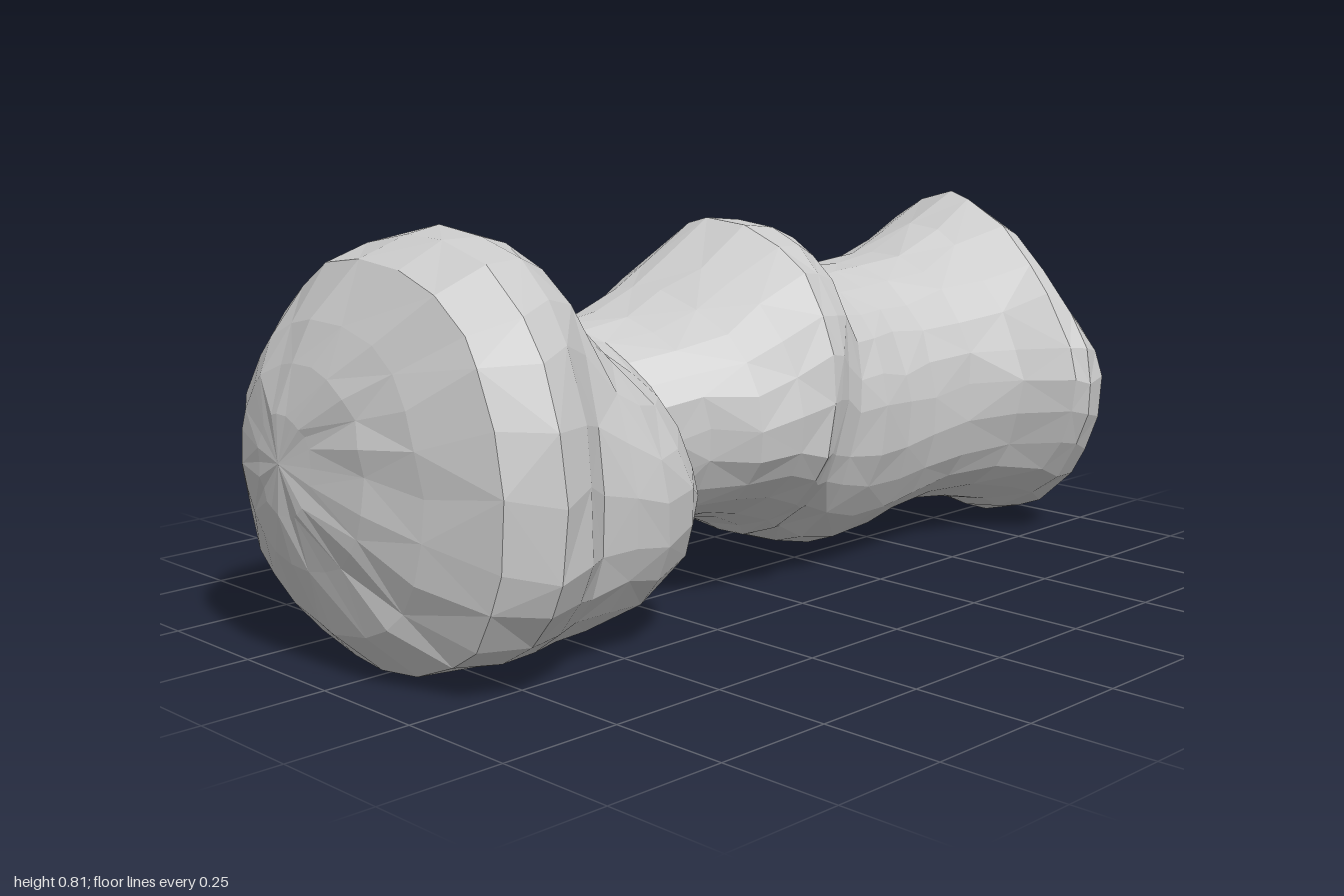
import * as THREE from 'three';

const SIDES = 24;

// Small seeded generator for the chipped, hand-hewn surface
function seeded(seed) {
  return () => {
    seed = (seed * 16807) % 2147483647;
    return seed / 2147483647 - 0.5;
  };
}

// Roundness of a part's four quarters: top front, top back, bottom back, bottom front
const part = (powers, stations) => stations.map((s) => ({ ...s, powers }));

// Lofts rounded cross-sections along x. Each section is four quarter
// curves around mid (y, z); a lean slants the whole section.
function loft(name, stations, startTip, endTip) {
  const rand = seeded(41);
  const points = [];
  for (const { x, y, z, mid, powers, lean = [0, 0] } of stations) {
    const reach = (t, centre, [low, high]) =>
      centre + t * (t > 0 ? high - centre : centre - low);
    for (let j = 0; j < SIDES; j++) {
      const turn = (j + 0.2 + rand() * 0.35) / SIDES;
      const power = powers[Math.floor(turn * 4) % 4];
      const bend = (v) => Math.sign(v) * Math.abs(v) ** (2 / power);
      const a = turn * Math.PI * 2;
      const r = 1 + rand() * 0.025;
      const py = reach(bend(Math.sin(a)) * r, mid[0], y);
      const pz = reach(bend(Math.cos(a)) * r, mid[1], z);
      const px = x + lean[0] * (py - 0.4) + lean[1] * pz + rand() * 0.012;
      points.push(px, Math.max(py, 0), pz);
    }
  }
  const last = stations.length - 1;
  const tipA = points.length / 3, tipB = tipA + 1;
  points.push(...startTip, ...endTip);

  const index = [];
  for (let j = 0; j < SIDES; j++) {
    const k = (j + 1) % SIDES;
    for (let i = 0; i < last; i++) {
      const a = i * SIDES + j, b = a + SIDES;
      const d = i * SIDES + k, c = d + SIDES;
      if ((i + j) % 2) index.push(a, b, c, a, c, d);
      else index.push(a, b, d, b, c, d);
    }
    index.push(tipA, j, k, tipB, last * SIDES + k, last * SIDES + j);
  }
  const geometry = new THREE.BufferGeometry();
  geometry.setAttribute('position', new THREE.Float32BufferAttribute(points, 3));
  geometry.setIndex(index);
  geometry.computeVertexNormals();
  const mesh = new THREE.Mesh(geometry,
    new THREE.MeshStandardMaterial({ color: 0xcccccc, flatShading: true }));
  mesh.name = name;
  return mesh;
}

export function createModel() {
  const group = new THREE.Group();
  group.name = 'knobblyShaft';

  // Large knob, boxy at the front, with a rounded end
  const knob = part([2.35, 2.1, 2.15, 2.3], [
    { x: -0.99, y: [0.3, 0.49], z: [-0.2, -0.04], mid: [0.4, -0.12] },
    { x: -0.965, y: [0.2, 0.58], z: [-0.29, 0.09], mid: [0.39, -0.1] },
    { x: -0.93, y: [0.08, 0.66], z: [-0.345, 0.21], mid: [0.36, -0.07] },
    { x: -0.87, y: [0.008, 0.765], z: [-0.375, 0.355], mid: [0.34, -0.02] },
    { x: -0.78, y: [0.02, 0.81], z: [-0.385, 0.415], mid: [0.32, 0] },
    { x: -0.69, y: [0.012, 0.812], z: [-0.375, 0.38], mid: [0.32, 0] },
    { x: -0.61, y: [0.005, 0.79], z: [-0.37, 0.325], mid: [0.32, -0.02] },
  ]);
  // Lower lobe of the knob, drawn in at a slanted neck
  const lobe = part([2, 2.1, 2.15, 2.2], [
    { x: -0.54, y: [0.005, 0.72], z: [-0.37, 0.33], mid: [0.3, -0.04], lean: [-0.03, 0] },
    { x: -0.475, y: [0.018, 0.655], z: [-0.37, 0.335], mid: [0.29, -0.06], lean: [-0.1, 0.02] },
    { x: -0.41, y: [0.055, 0.615], z: [-0.36, 0.3], mid: [0.3, -0.08], lean: [-0.2, 0.08] },
    { x: -0.35, y: [0.1, 0.585], z: [-0.325, 0.24], mid: [0.33, -0.1], lean: [-0.28, 0.12] },
    { x: -0.3, y: [0.135, 0.582], z: [-0.328, 0.16], mid: [0.36, -0.1], lean: [-0.2, 0.08] },
  ]);
  // Flaring middle that ends in a slanted rim
  const middle = part([2.1, 1.95, 1.95, 2.1], [
    { x: -0.22, y: [0.15, 0.6], z: [-0.315, 0.2], mid: [0.38, -0.1], lean: [-0.08, 0] },
    { x: -0.13, y: [0.157, 0.64], z: [-0.325, 0.265], mid: [0.38, -0.1] },
    { x: -0.04, y: [0.142, 0.69], z: [-0.355, 0.287], mid: [0.38, -0.1] },
    { x: 0.06, y: [0.11, 0.765], z: [-0.39, 0.295], mid: [0.38, -0.1], lean: [0.1, -0.05] },
    { x: 0.12, y: [0.085, 0.755], z: [-0.415, 0.28], mid: [0.38, -0.1], lean: [0.17, -0.12] },
    { x: 0.18, y: [0.075, 0.725], z: [-0.395, 0.255], mid: [0.38, -0.1], lean: [0.23, -0.2] },
  ]);
  // Waisted section behind the rim
  const waist = part([2.1, 2.2, 2.2, 2.2], [
    { x: 0.245, y: [0.045, 0.635], z: [-0.33, 0.238], mid: [0.36, -0.08], lean: [0.2, -0.2] },
    { x: 0.31, y: [0.022, 0.632], z: [-0.335, 0.228], mid: [0.35, -0.08], lean: [0.08, -0.1] },
    { x: 0.39, y: [0.025, 0.636], z: [-0.335, 0.212], mid: [0.34, -0.08] },
    { x: 0.48, y: [0.045, 0.64], z: [-0.33, 0.21], mid: [0.35, -0.07] },
    { x: 0.59, y: [0.07, 0.655], z: [-0.32, 0.225], mid: [0.36, -0.05] },
  ]);
  // Flared end with a sloping upper front and a domed face
  const flare = part([1.55, 2.1, 1.9, 2], [
    { x: 0.7, y: [0.065, 0.715], z: [-0.315, 0.285], mid: [0.37, -0.02] },
    { x: 0.8, y: [0.05, 0.782], z: [-0.325, 0.375], mid: [0.37, 0], lean: [0, -0.06] },
    { x: 0.855, y: [0.025, 0.745], z: [-0.35, 0.39], mid: [0.37, 0.01], lean: [0, -0.1] },
    { x: 0.905, y: [0.005, 0.655], z: [-0.345, 0.36], mid: [0.36, 0.02] },
    { x: 0.95, y: [0.04, 0.57], z: [-0.24, 0.285], mid: [0.36, 0.03] },
    { x: 0.975, y: [0.1, 0.51], z: [-0.14, 0.23], mid: [0.35, 0.04] },
    { x: 0.99, y: [0.2, 0.44], z: [-0.04, 0.18], mid: [0.34, 0.06] },
  ]);

  group.add(loft('shaft', [...knob, ...lobe, ...middle, ...waist, ...flare],
    [-1, 0.4, -0.12], [1, 0.33, 0.1]));
  return group;
}
